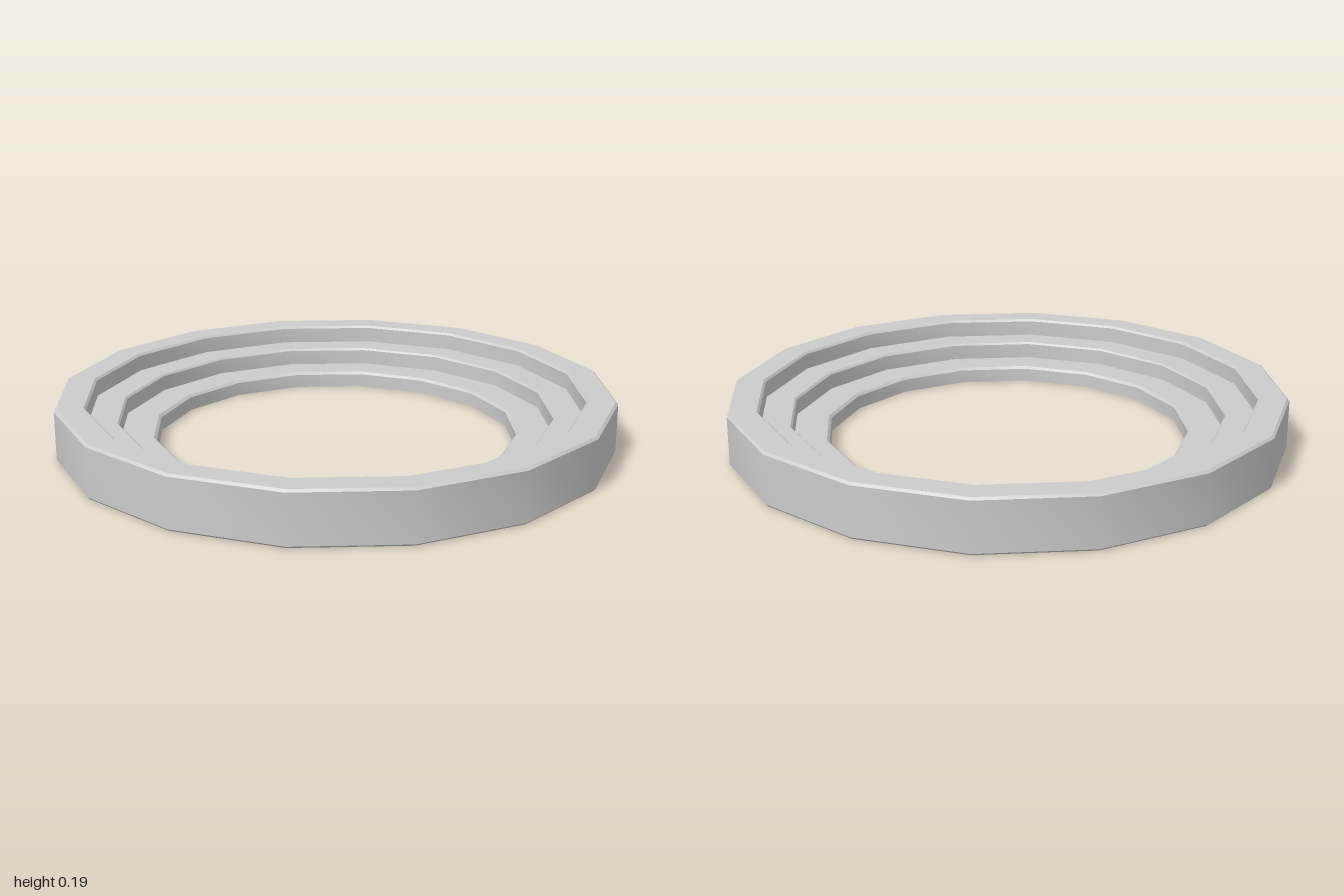
import * as THREE from 'three';
import { toCreasedNormals } from 'three/addons/utils/BufferGeometryUtils.js';

export function createModel() {
  const group = new THREE.Group();
  group.name = 'steppedRing';

  // Closed cross-section [radius, height]: base, outer wall, rim, two steps down, bore
  const profile = [
    [0.65, 0], [0.995, 0], [1, 0.006],
    [1, 0.18], [0.991, 0.188],
    [0.898, 0.188], [0.89, 0.18],
    [0.89, 0.122],
    [0.785, 0.122], [0.778, 0.115],
    [0.778, 0.059],
    [0.66, 0.059], [0.65, 0.05],
    [0.65, 0],
  ].map(([r, y]) => new THREE.Vector2(r, y));

  // Sixteen sides, smooth around the ring, sharp across the steps
  const geometry = toCreasedNormals(new THREE.LatheGeometry(profile, 16), Math.PI / 6);
  const ring = new THREE.Mesh(geometry, new THREE.MeshStandardMaterial({ color: 0xcccccc }));
  ring.name = 'ring';
  group.add(ring);
  return group;
}
